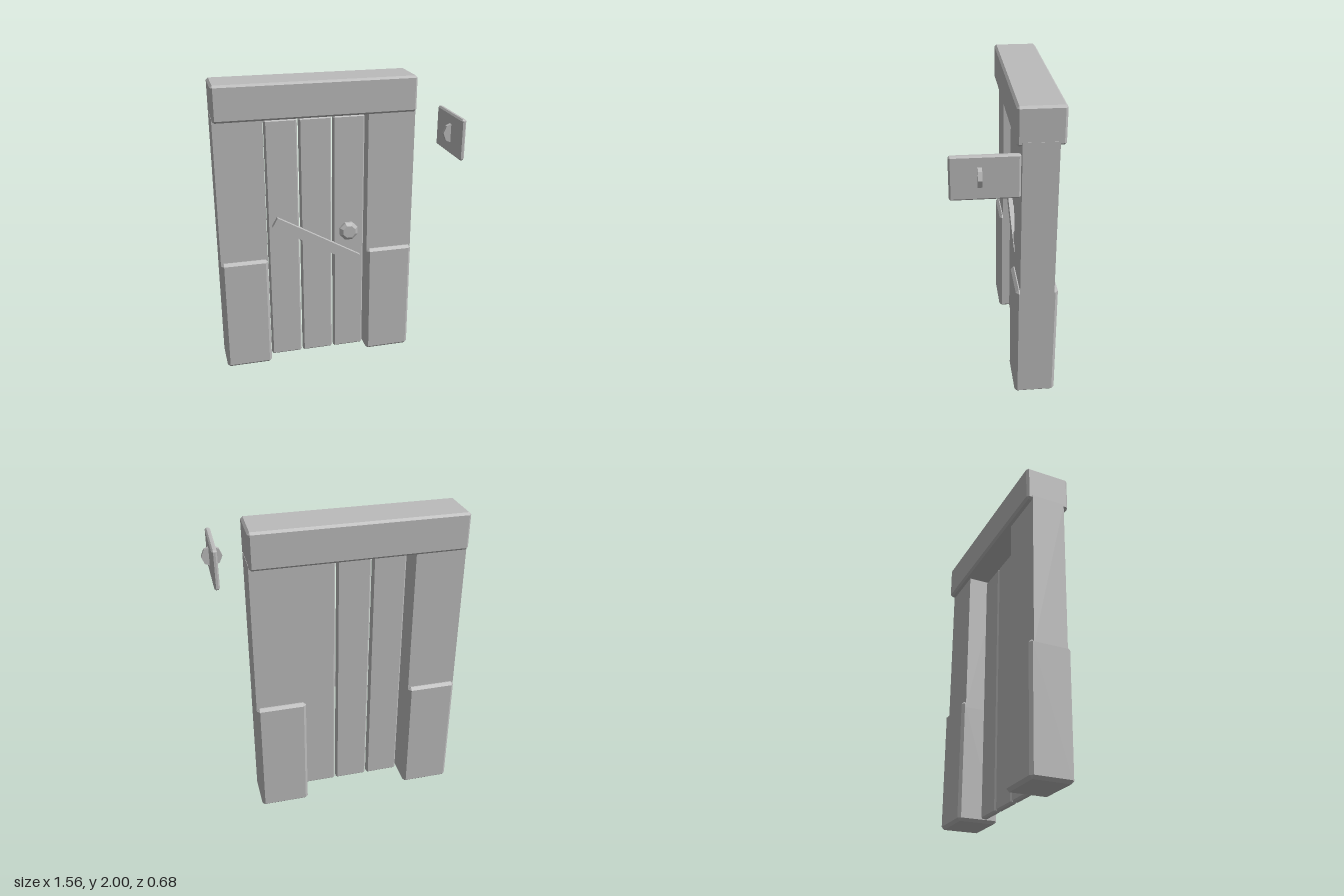
import * as THREE from 'three';
import { ConvexGeometry } from 'three/addons/geometries/ConvexGeometry.js';

const stone = new THREE.MeshStandardMaterial({ color: 0xbbbbbb });
stone.name = 'plain grey';

// Box with 45-degree chamfers on every edge, given by its extents
function chamferBox(x0, x1, y0, y1, z0, z1, c) {
  const h = [(x1 - x0) / 2, (y1 - y0) / 2, (z1 - z0) / 2];
  const points = [];
  for (const sx of [-1, 1]) for (const sy of [-1, 1]) for (const sz of [-1, 1]) {
    for (let full = 0; full < 3; full++) {
      const p = h.map((v, i) => (i === full ? v : v - c));
      points.push(new THREE.Vector3(p[0] * sx, p[1] * sy, p[2] * sz));
    }
  }
  return new ConvexGeometry(points).translate((x0 + x1) / 2, (y0 + y1) / 2, (z0 + z1) / 2);
}

// Sharp box given by its extents
function plainBox(x0, x1, y0, y1, z0, z1) {
  return new THREE.BoxGeometry(x1 - x0, y1 - y0, z1 - z0)
    .translate((x0 + x1) / 2, (y0 + y1) / 2, (z0 + z1) / 2);
}

// Octagonal prism along z; turn rotates its corners
function octagon(rFront, rBack, depth, turn) {
  return new THREE.CylinderGeometry(rFront, rBack, depth, 8)
    .rotateY(turn).rotateX(Math.PI / 2).toNonIndexed();
}

export function createModel() {
  const model = new THREE.Group();
  model.name = 'doorway';
  const add = (name, geometry, parent = model) => {
    geometry.computeVertexNormals();
    const mesh = new THREE.Mesh(geometry, stone);
    mesh.name = name;
    parent.add(mesh);
    return mesh;
  };

  // Lintel across the top
  add('lintel', chamferBox(-0.78, 0.548, 1.765, 2, -0.339, -0.053, 0.014));

  // Posts with wider footings
  for (const [side, x0, x1] of [['right', -0.782, -0.465], ['left', 0.231, 0.55]]) {
    add(side + 'Post', plainBox(x0, x1, 0.76, 1.79, -0.302, -0.087));
    add(side + 'Footing', chamferBox(x0, x1, 0, 0.803, -0.327, -0.062, 0.018));
  }

  // Door planks
  const door = new THREE.Group();
  door.name = 'door';
  model.add(door);
  for (let i = 0; i < 3; i++) {
    const x = -0.45 + i * 0.227;
    add('plank' + (i + 1), chamferBox(x, x + 0.216, 0.017, 1.748, -0.18, -0.135, 0.01), door);
  }

  // Slanted brace
  const brace = add('brace', new THREE.BoxGeometry(0.666, 0.072, 0.04), door);
  brace.position.set(-0.115, 0.887, -0.125);
  brace.rotation.z = -Math.PI / 6;

  // Octagonal knob with a chamfered rim
  const knob = new THREE.Group();
  knob.name = 'knob';
  knob.position.set(0.11, 0.936, 0);
  door.add(knob);
  add('knobBase', octagon(0.067, 0.067, 0.025, Math.PI / 8), knob).position.z = -0.1285;
  add('knobRim', octagon(0.045, 0.067, 0.016, Math.PI / 8), knob).position.z = -0.108;

  // Hanging sign with an octagonal disc set through it
  add('sign', chamferBox(0.695, 0.729, 1.537, 1.798, -0.058, 0.337, 0.01));
  add('signDisc', octagon(0.066, 0.066, 0.025, 0)).position.set(0.712, 1.673, 0.168);

  return model;
}
